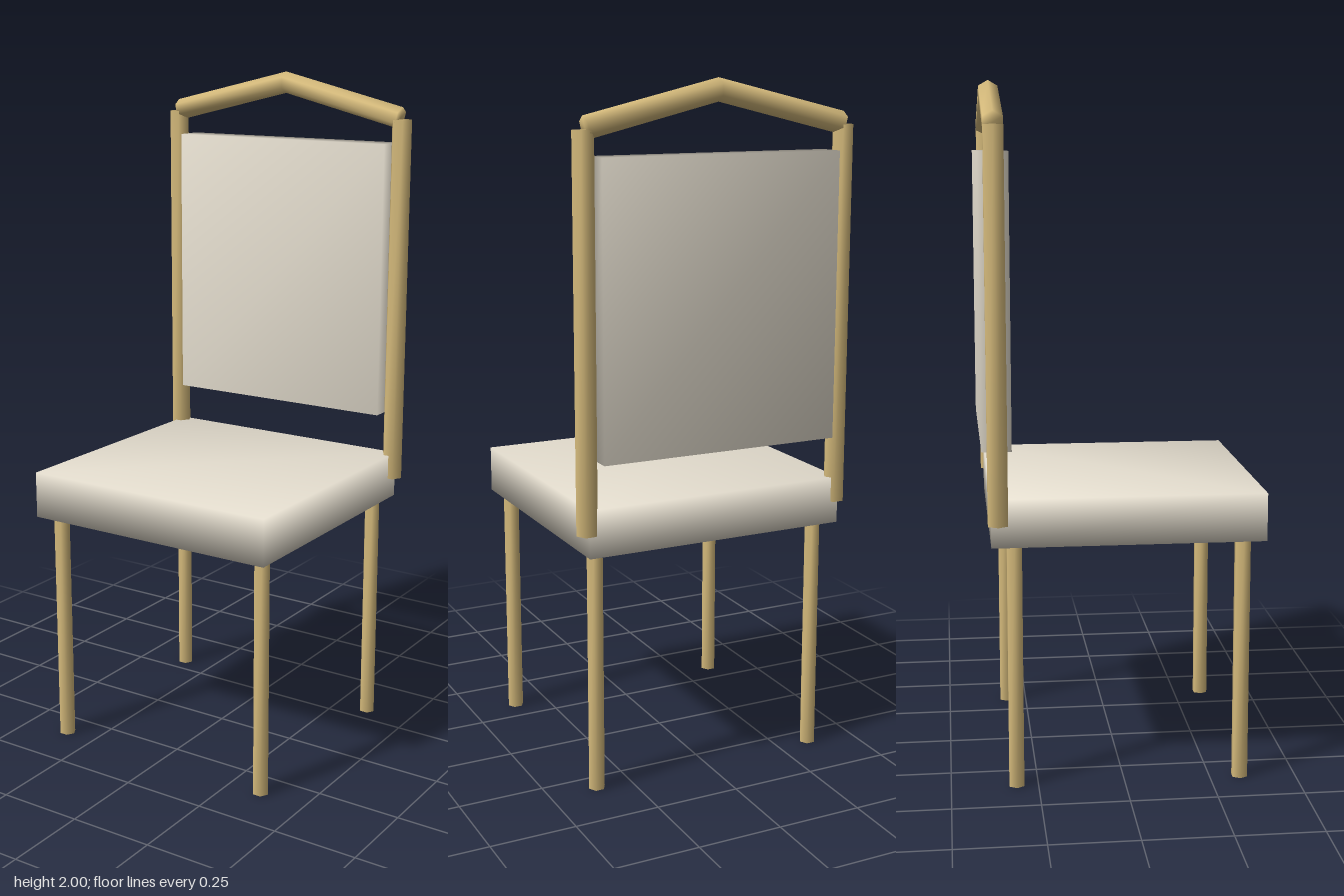
import * as THREE from 'three';
import { mergeVertices } from 'three/addons/utils/BufferGeometryUtils.js';

const wood = new THREE.MeshStandardMaterial({ color: 0xd6bb7c });
const fabric = new THREE.MeshStandardMaterial({ color: 0xe6dfd0 });

// Share all corners so the normals run smoothly over every edge
function soften(geometry) {
  geometry.deleteAttribute('normal');
  geometry.deleteAttribute('uv');
  const merged = mergeVertices(geometry, 1e-4);
  merged.computeVertexNormals();
  return merged;
}

// Six-sided rod with its corners pointing along x
function rod(radius, length, heightSegments = 1) {
  return new THREE.CylinderGeometry(radius, radius, length, 6, heightSegments, false, Math.PI / 2);
}

export function createModel() {
  const group = new THREE.Group();

  function add(name, geometry, material, x, y, z) {
    const mesh = new THREE.Mesh(soften(geometry), material);
    mesh.name = name;
    mesh.position.set(x, y, z);
    group.add(mesh);
  }

  // Cushioned seat and back panel
  add('seat', new THREE.BoxGeometry(0.794, 0.138, 0.777), fabric, -0.001, 0.784, 0.0115);
  add('backPanel', new THREE.BoxGeometry(0.722, 0.82, 0.084), fabric, 0, 1.39, -0.358);

  // Legs and back posts, mirrored left and right
  for (const [side, s] of [['left', 1], ['right', -1]]) {
    add(side + 'FrontLeg', rod(0.0245, 0.72), wood, s * 0.354, 0.36, 0.338);
    add(side + 'BackLeg', rod(0.0245, 0.72), wood, s * 0.354, 0.36, -0.312);
    add(side + 'BackPost', rod(0.032, 1.09), wood, s * 0.396, 1.325, -0.358);
  }

  // Peaked top rail: a rod bent at the middle, with ends cut square to each slope
  const half = 0.39, rise = 0.093;
  const slope = Math.atan2(rise, half);
  const rail = rod(0.032, half * 2, 2).rotateZ(Math.PI / 2);
  const p = rail.attributes.position;
  for (let i = 0; i < p.count; i++) {
    const x = p.getX(i), y = p.getY(i);
    if (Math.abs(x) > 0.1) {
      p.setX(i, x + Math.sign(x) * y * Math.sin(slope));
      p.setY(i, y * Math.cos(slope) - rise);
    }
  }
  add('topRail', rail, wood, 0, 1.968, -0.358);

  return group;
}
